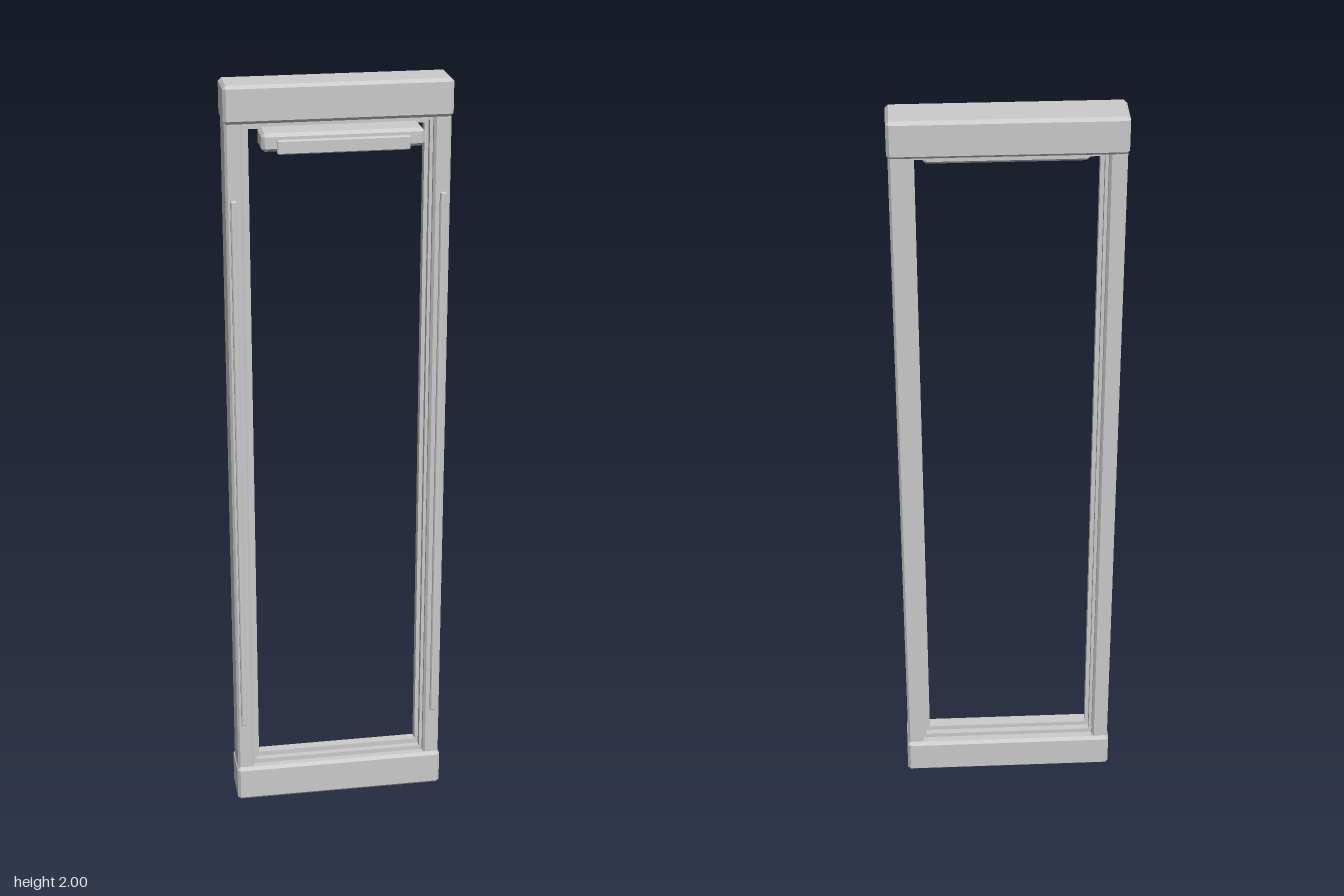
import * as THREE from 'three';
import { ConvexGeometry } from 'three/addons/geometries/ConvexGeometry.js';

const material = new THREE.MeshStandardMaterial({ color: 0xcccccc, flatShading: true });

// Box between two corners, with every edge chamfered by c
function chamferBox(name, [x0, y0, z0], [x1, y1, z1], c) {
  const half = [(x1 - x0) / 2, (y1 - y0) / 2, (z1 - z0) / 2];
  const points = [];
  for (const sx of [-1, 1]) for (const sy of [-1, 1]) for (const sz of [-1, 1]) {
    for (let axis = 0; axis < 3; axis++) {
      const size = half.map((h, i) => (i === axis ? h : h - c));
      points.push(new THREE.Vector3(sx * size[0], sy * size[1], sz * size[2]));
    }
  }
  const mesh = new THREE.Mesh(new ConvexGeometry(points), material);
  mesh.name = name;
  mesh.position.set((x0 + x1) / 2, (y0 + y1) / 2, (z0 + z1) / 2);
  return mesh;
}

// Rectangular ring with an open middle
function ring(name, outerX, innerX, outerY, innerY, z0, z1) {
  const rect = (Type, x, [y0, y1]) => new Type([
    new THREE.Vector2(-x, y0), new THREE.Vector2(x, y0),
    new THREE.Vector2(x, y1), new THREE.Vector2(-x, y1),
  ]);
  const shape = rect(THREE.Shape, outerX, outerY);
  shape.holes.push(rect(THREE.Path, innerX, innerY));
  const geometry = new THREE.ExtrudeGeometry(shape, { depth: z1 - z0, bevelEnabled: false });
  const mesh = new THREE.Mesh(geometry, material);
  mesh.name = name;
  mesh.position.z = z0;
  return mesh;
}

export function createModel() {
  const model = new THREE.Group();
  model.name = 'doorFrame';

  // Wide rails at the bottom and the top
  model.add(chamferBox('bottomRail', [-0.285, 0, -0.092], [0.285, 0.1, 0.02], 0.008));
  model.add(chamferBox('topRail', [-0.285, 1.905, -0.092], [0.285, 2, 0.02], 0.008));

  // Side posts, each with a thin raised strip on its front
  for (const [side, s] of [['left', 1], ['right', -1]]) {
    const post = chamferBox(side + 'Post', [-0.022, 0.06, -0.082], [0.022, 1.94, 0.01], 0.006);
    post.position.x = s * 0.26;
    const strip = chamferBox(side + 'Strip', [-0.008, 0.235, 0.004], [0.008, 1.715, 0.019], 0.003);
    strip.position.x = s * 0.263;
    model.add(post, strip);
  }

  // Stepped inner lining around the opening
  model.add(ring('outerLining', 0.25, 0.23, [0.09, 1.92], [0.112, 1.895], -0.065, -0.005));
  model.add(ring('innerLining', 0.24, 0.22, [0.1, 1.91], [0.125, 1.884], -0.048, -0.022));

  // Housing below the top rail, with a narrow bar on its front
  model.add(chamferBox('housing', [-0.2, 1.85, -0.005], [0.2, 1.895, 0.08], 0.008));
  model.add(chamferBox('housingBar', [-0.163, 1.845, 0.076], [0.163, 1.88, 0.09], 0.003));

  return model;
}
